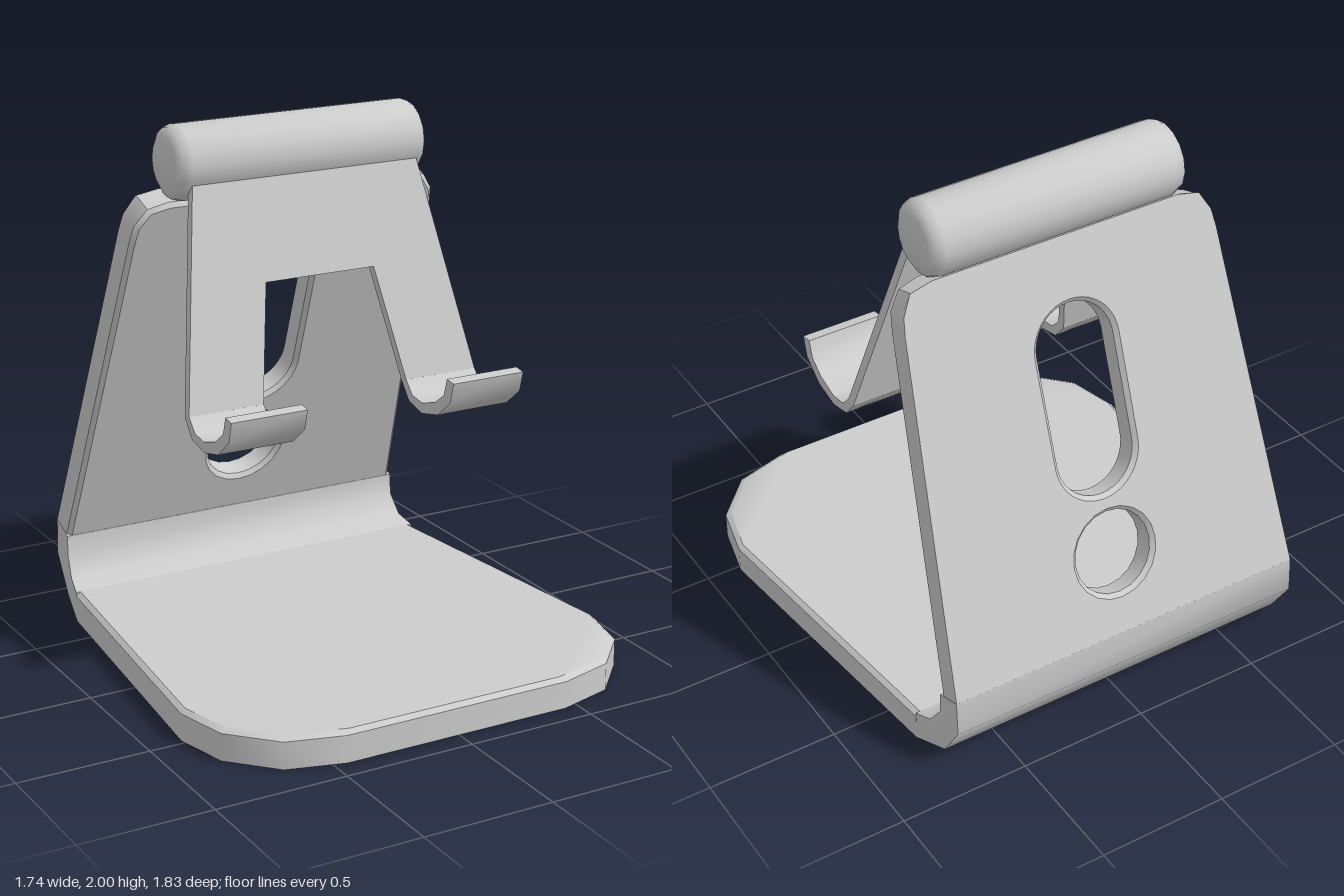
import * as THREE from 'three';
import { toCreasedNormals } from 'three/addons/utils/BufferGeometryUtils.js';
import { ConvexGeometry } from 'three/addons/geometries/ConvexGeometry.js';

const metal = new THREE.MeshStandardMaterial({ color: 0xcccccc });
metal.name = 'light grey metal';

const vec2 = (points) => points.map(([x, y]) => new THREE.Vector2(x, y));

// Closed outline from its right half, listed bottom to top
function mirrored(half) {
  const left = half.map(([x, y]) => [-x, y]).reverse();
  return new THREE.Shape(vec2([...half, ...left]));
}

// Extrude a side profile given as [z, y] across the width, from x = 0 to -width
function extrudeAcross(profile, width) {
  const geo = new THREE.ExtrudeGeometry(new THREE.Shape(vec2(profile)), { depth: width, bevelEnabled: false });
  return geo.rotateY(-Math.PI / 2);
}

function addPart(parent, name, geo, crease) {
  const mesh = new THREE.Mesh(toCreasedNormals(geo, crease), metal);
  mesh.name = name;
  parent.add(mesh);
  return mesh;
}

// Flat foot with cut front corners and a chamfered top edge
function baseGeometry() {
  const half = [[0.755, -0.672], [0.87, 0.48], [0.82, 0.69], [0.665, 0.855], [0.45, 0.915]];
  const points = [];
  for (const [x, z] of half) {
    for (const s of [1, -1]) {
      points.push(new THREE.Vector3(s * x, 0, z), new THREE.Vector3(s * x, 0.104, z));
      points.push(new THREE.Vector3(s * (x - 0.018), 0.12, z > 0.6 ? z - 0.018 : z));
    }
  }
  return new ConvexGeometry(points);
}

// Rounded bend between foot and back, narrowing towards the rear
function bendGeometry() {
  const geo = extrudeAcross([
    [-0.67, 0], [-0.82, 0.05], [-0.913, 0.2], [-0.905, 0.34],
    [-0.80, 0.303], [-0.797, 0.22], [-0.745, 0.145], [-0.67, 0.12],
  ], 2);
  const p = geo.attributes.position;
  for (let i = 0; i < p.count; i++) {
    const w = Math.max(0.725, 0.755 - 0.2 * (-0.67 - p.getZ(i)));
    p.setX(i, p.getX(i) < -1 ? -w : w);
  }
  return geo;
}

// Leaning back panel with a round hole and a slot
function backGeometry() {
  const b = 0.016;
  const shape = mirrored([[0.725, -b], [0.635, 1.34], [0.625, 1.41], [0.58, 1.475], [0.5, 1.495]]);
  const r = 0.157;
  const hole = new THREE.Path();
  hole.absarc(0, 0.305, r, 0, Math.PI * 2, true);
  const slot = new THREE.Path();
  slot.absarc(0, 1.095, r, Math.PI, 0, true);
  slot.absarc(0, 0.69, r, 0, -Math.PI, true);
  slot.closePath();
  shape.holes.push(hole, slot);
  const geo = new THREE.ExtrudeGeometry(shape, {
    depth: 0.11 - 2 * b, curveSegments: 10,
    bevelEnabled: true, bevelSegments: 1, bevelSize: b, bevelThickness: b, bevelOffset: -b,
  });
  // Square off the rear rim so only the front edge is chamfered
  const p = geo.attributes.position;
  for (let i = 0; i < p.count; i++) {
    if (p.getZ(i) > -b / 2) continue;
    const x = p.getX(i), y = p.getY(i);
    if (Math.abs(x) > 0.56) p.setX(i, x + Math.sign(x) * b);
    if (y > 1.44) p.setY(i, y + b);
  }
  return geo.translate(0, 0, b);
}

// Horizontal hinge roller with chamfered ends
function rollerGeometry() {
  const profile = vec2([[0, -0.515], [0.1, -0.515], [0.13, -0.497], [0.142, -0.465],
    [0.142, 0.465], [0.13, 0.497], [0.1, 0.515], [0, 0.515]]);
  return new THREE.LatheGeometry(profile, 16).rotateZ(Math.PI / 2);
}

export function createModel() {
  const group = new THREE.Group();
  group.name = 'deskStand';

  addPart(group, 'base', baseGeometry(), 0.6);
  addPart(group, 'bend', bendGeometry(), 0.9);

  const back = addPart(group, 'backPanel', backGeometry(), 0.6);
  back.position.set(0, 0.34, -0.905);
  back.rotation.x = 0.3452;

  const roller = addPart(group, 'hingeRoller', rollerGeometry(), 0.9);
  roller.position.set(0, 1.859, -0.308);

  // Support plate with two legs
  const plateShape = mirrored([[0.3, 0], [0.6, 0], [0.455, 0.87]]);
  const legs = plateShape.getPoints();
  legs.push(new THREE.Vector2(-0.225, 0.435), new THREE.Vector2(0.225, 0.435));
  const plateGeo = new THREE.ExtrudeGeometry(new THREE.Shape(legs), { depth: 0.036, bevelEnabled: false });
  const plate = addPart(group, 'supportPlate', plateGeo, 0.5);
  plate.position.set(0, 1.005, 0);
  plate.rotation.x = -0.27;

  // Curled hooks at the foot of each leg
  const hookProfile = [
    [0, 1.005], [0.055, 0.938], [0.15, 0.916], [0.26, 0.942], [0.345, 1.012], [0.366, 1.09],
    [0.32, 1.097], [0.3, 1.03], [0.24, 0.985], [0.15, 0.957], [0.08, 0.967], [0.035, 1.015],
  ];
  for (const [name, x] of [['leftHook', 0.6], ['rightHook', -0.3]]) {
    addPart(group, name, extrudeAcross(hookProfile, 0.3), 0.75).position.x = x;
  }
  return group;
}
